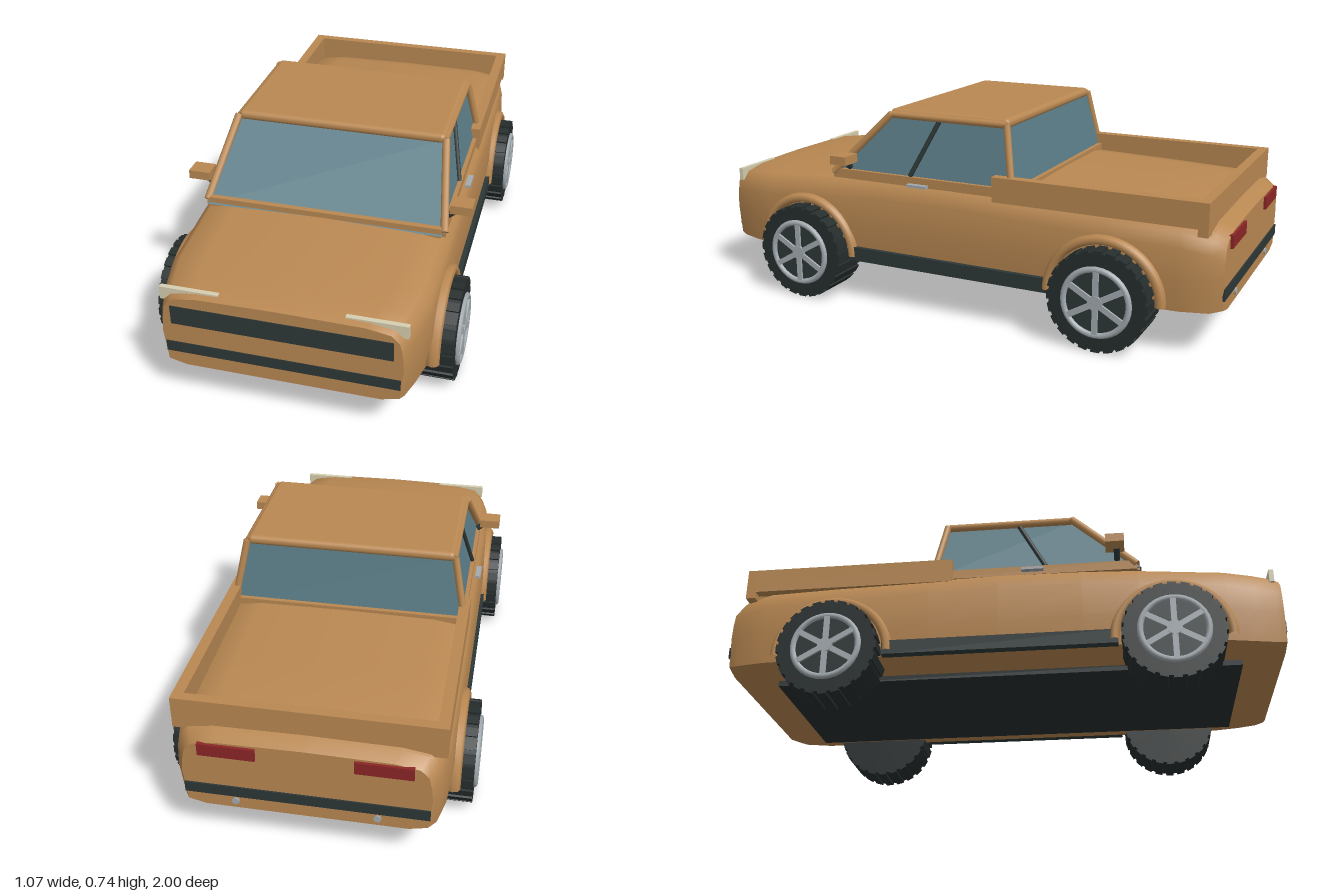
import * as THREE from 'three';
import { toCreasedNormals } from 'three/addons/utils/BufferGeometryUtils.js';
import { RoundedBoxGeometry } from 'three/addons/geometries/RoundedBoxGeometry.js';

const mat = (name, color) => Object.assign(new THREE.MeshStandardMaterial({ color }), { name });

export function createModel() {
  const paint = mat('tan paint', 0xb98852);
  const glass = mat('blue grey glass', 0x5b7d88);
  const trim = mat('dark trim', 0x2e3737);
  const rubber = mat('black rubber', 0x262d2d);
  const silver = mat('silver metal', 0xa3abb0);
  const cream = mat('cream lamp', 0xd6cfb0);
  const red = mat('red lamp', 0x8c2626);

  const truck = new THREE.Group();
  truck.name = 'pickupTruck';
  const add = (name, geo, material, parent = truck) => {
    const mesh = new THREE.Mesh(geo, material);
    mesh.name = name;
    parent.add(mesh);
    return mesh;
  };
  // Box given by its limits on each axis
  const box = (name, material, [x0, x1], [y0, y1], [z0, z1], parent) => {
    const mesh = add(name, new THREE.BoxGeometry(x1 - x0, y1 - y0, z1 - z0), material, parent);
    mesh.position.set((x0 + x1) / 2, (y0 + y1) / 2, (z0 + z1) / 2);
    return mesh;
  };
  const mirrorX = (name, material, [x0, x1], y, z) => {
    box(name + 'Left', material, [x0, x1], y, z);
    box(name + 'Right', material, [-x1, -x0], y, z);
  };
  // Round bar between two points
  const bar = (name, material, a, b, r) => {
    const p = new THREE.Vector3(...a), q = new THREE.Vector3(...b);
    const mesh = add(name, new THREE.CylinderGeometry(r, r, p.distanceTo(q), 10), material);
    mesh.position.copy(p).lerp(q, 0.5);
    mesh.quaternion.setFromUnitVectors(new THREE.Vector3(0, 1, 0), q.sub(p).normalize());
  };

  // Body: rounded cross-sections from tail to nose [z, half width, bottom, top]
  const stations = [
    [-0.99, 0.41, 0.16, 0.43], [-0.95, 0.435, 0.152, 0.455], [-0.85, 0.457, 0.15, 0.475],
    [-0.6, 0.464, 0.15, 0.484], [-0.25, 0.465, 0.15, 0.494], [0, 0.465, 0.15, 0.503],
    [0.3, 0.465, 0.15, 0.498], [0.5, 0.464, 0.15, 0.486], [0.8, 0.457, 0.15, 0.463],
    [0.9, 0.435, 0.15, 0.454], [0.97, 0.415, 0.152, 0.446], [0.997, 0.403, 0.158, 0.438],
  ];
  const section = ([z, w, b, t]) => {
    const half = [[0.82, b], [0.97, b + 0.015], [1, b + 0.13], [0.99, t - 0.09],
      [0.965, t - 0.045], [0.9, t - 0.018], [0.7, t - 0.004]];
    const left = half.map(([k, y]) => [-k * w, y, z]).reverse();
    return [[0, b, z], ...half.map(([k, y]) => [k * w, y, z]), [0, t, z], ...left];
  };
  const rings = stations.map(section);
  const n = rings[0].length, last = rings.length - 1;
  const index = [];
  for (let i = 0; i < last; i++) {
    for (let j = 0; j < n; j++) {
      const a = i * n + j, b = i * n + (j + 1) % n;
      index.push(a, b, a + n, b, b + n, a + n);
    }
  }
  for (let j = 1; j < n - 1; j++) {
    index.push(0, j + 1, j);
    index.push(last * n, last * n + j, last * n + j + 1);
  }
  const bodyGeo = new THREE.BufferGeometry();
  bodyGeo.setAttribute('position', new THREE.Float32BufferAttribute(rings.flat(2), 3));
  bodyGeo.setIndex(index);
  add('body', toCreasedNormals(bodyGeo, 0.7), paint);
  box('underbody', rubber, [-0.31, 0.31], [0.13, 0.152], [-0.83, 0.85]);

  // Greenhouse: a box tapered to the roof
  const cabinGeo = new THREE.BoxGeometry(2, 1, 2);
  const p = cabinGeo.attributes.position;
  for (let i = 0; i < p.count; i++) {
    const top = p.getY(i) > 0, front = p.getZ(i) > 0;
    const x = Math.sign(p.getX(i)) * (top ? 0.372 : 0.425);
    p.setXYZ(i, x, top ? 0.715 : 0.48, top ? (front ? 0.265 : -0.2) : (front ? 0.515 : -0.248));
  }
  cabinGeo.computeVertexNormals();
  add('cabinGlass', cabinGeo, glass);
  const roof = add('roof', new RoundedBoxGeometry(0.765, 0.036, 0.485, 3, 0.017), paint);
  roof.position.set(0, 0.722, 0.035);
  box('cowl', paint, [-0.42, 0.42], [0.47, 0.505], [0.47, 0.51]);
  box('rearSill', paint, [-0.42, 0.42], [0.47, 0.505], [-0.26, -0.235]);

  for (const s of [1, -1]) {
    bar('windshieldPillar', paint, [s * 0.43, 0.49, 0.5], [s * 0.384, 0.722, 0.268], 0.014);
    bar('rearPillar', paint, [s * 0.43, 0.49, -0.242], [s * 0.384, 0.722, -0.2], 0.013);
    bar('roofRail', paint, [s * 0.38, 0.719, 0.268], [s * 0.38, 0.719, -0.2], 0.013);
    bar('windowDivider', trim, [s * 0.424, 0.505, 0.172], [s * 0.378, 0.708, 0.072], 0.009);
    bar('mirrorStalk', trim, [s * 0.425, 0.515, 0.43], [s * 0.462, 0.543, 0.43], 0.011);
  }
  mirrorX('beltLine', paint, [0.405, 0.434], [0.47, 0.505], [-0.25, 0.5]);
  mirrorX('mirror', paint, [0.437, 0.515], [0.54, 0.572], [0.39, 0.457]);
  mirrorX('doorHandle', silver, [0.445, 0.465], [0.475, 0.485], [0.085, 0.165]);
  mirrorX('sideSkirt', trim, [0.44, 0.474], [0.163, 0.215], [-0.41, 0.42]);

  // Cargo bed
  mirrorX('bedWall', paint, [0.408, 0.446], [0.455, 0.545], [-0.93, -0.17]);
  box('tailgate', paint, [-0.446, 0.446], [0.43, 0.545], [-0.94, -0.905]);

  // Nose and tail details
  box('grille', trim, [-0.37, 0.37], [0.325, 0.395], [0.992, 1]);
  box('frontBumperStrip', trim, [-0.394, 0.394], [0.21, 0.25], [0.992, 1]);
  box('rearBumperStrip', trim, [-0.405, 0.405], [0.21, 0.25], [-0.995, -0.987]);
  mirrorX('headlight', cream, [0.21, 0.412], [0.4, 0.447], [0.958, 0.975]);
  mirrorX('tailLight', red, [0.16, 0.35], [0.375, 0.42], [-1, -0.985]);
  for (const s of [1, -1]) {
    bar('rearSensor', silver, [s * 0.235, 0.19, -0.985], [s * 0.235, 0.19, -0.996], 0.013);
  }

  // Wheels, built with the outer face toward +x
  const makeWheel = () => {
    const wheel = new THREE.Group();
    const disc = (name, r, x0, x1, material, sides = 36) => {
      const geo = new THREE.CylinderGeometry(r, r, x1 - x0, sides).rotateZ(Math.PI / 2);
      add(name, geo.translate((x0 + x1) / 2, 0, 0), material, wheel);
    };
    disc('tyre', 0.172, -0.077, 0.077, rubber);
    for (let i = 0; i < 24; i++) {
      const geo = new THREE.BoxGeometry(0.154, 0.016, 0.03).translate(0, 0.171, 0);
      add('treadBlock', geo.rotateX(i * Math.PI / 12), rubber, wheel);
    }
    disc('rimDish', 0.115, 0.07, 0.08, trim);
    const ring = new THREE.TorusGeometry(0.116, 0.011, 8, 36).rotateY(Math.PI / 2);
    add('rim', ring.translate(0.079, 0, 0), silver, wheel);
    for (let i = 0; i < 6; i++) {
      const geo = new THREE.BoxGeometry(0.012, 0.1, 0.02).translate(0.082, 0.062, 0);
      add('spoke', geo.rotateX(i * Math.PI / 3), silver, wheel);
    }
    disc('hub', 0.026, 0.07, 0.09, silver, 16);
    return wheel;
  };
  for (const [end, z] of [['front', 0.61], ['rear', -0.595]]) {
    for (const [side, s] of [['Left', 1], ['Right', -1]]) {
      const wheel = makeWheel();
      wheel.name = end + 'Wheel' + side;
      wheel.position.set(s * 0.447, 0.181, z);
      wheel.rotation.y = s > 0 ? 0 : Math.PI;
      truck.add(wheel);
      // Arch flare over the wheel
      const flareGeo = new THREE.TorusGeometry(0.203, 0.018, 8, 28, Math.PI).rotateY(Math.PI / 2);
      const flare = add(end + 'Flare' + side, flareGeo.scale(1.4, 1, 1), paint);
      flare.position.set(s * 0.459, 0.178, z);
    }
  }
  return truck;
}
